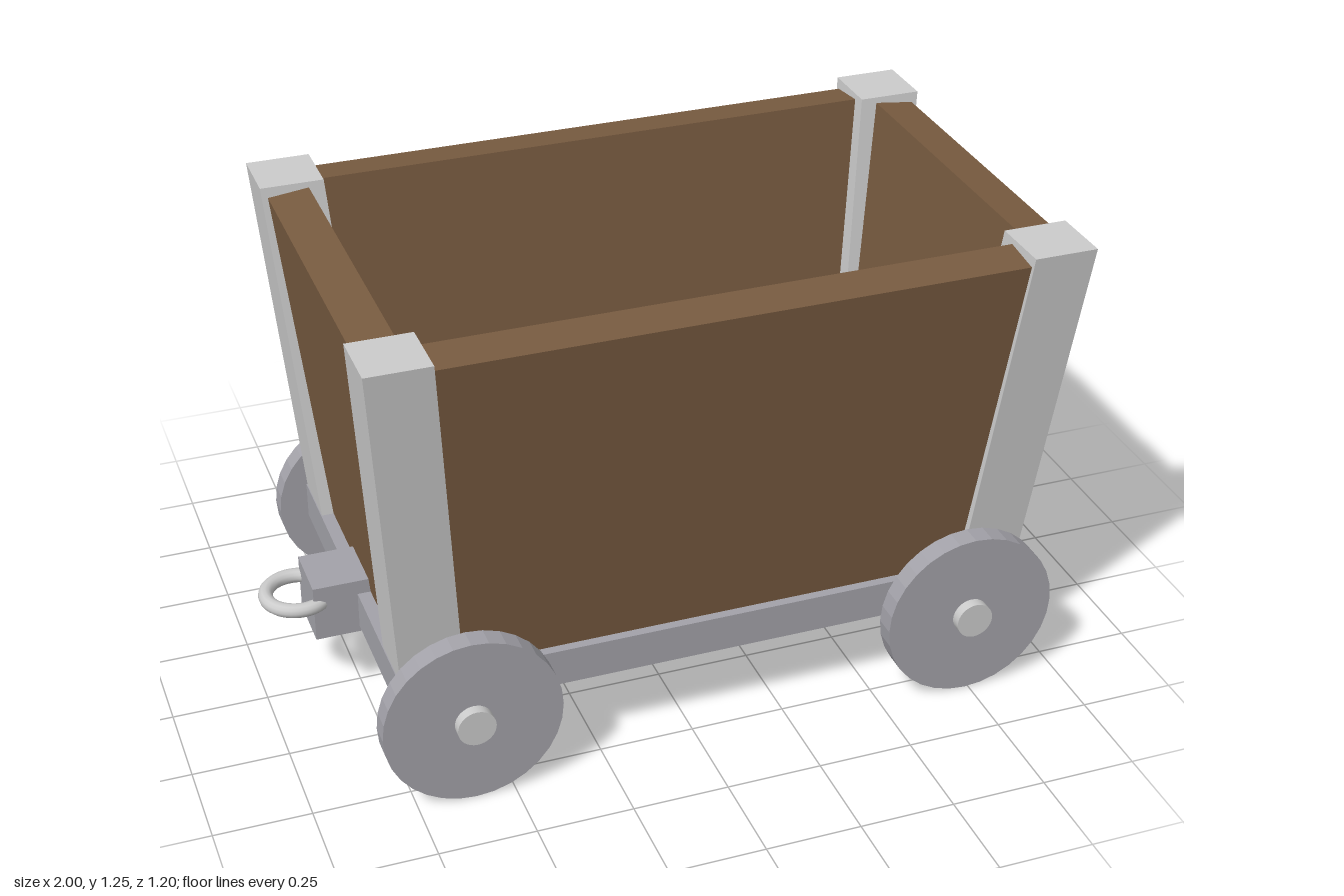
import * as THREE from 'three';

const paint = (color) => new THREE.MeshStandardMaterial({ color });
const steel = paint(0xcccccc);
const darkSteel = paint(0xa3a2a9);
const darkSteelFlat = paint(0xa3a2a9);
darkSteelFlat.flatShading = true;
const wood = paint(0x785b40);

// Box whose bottom and top rectangles are given as [x0, x1, z0, z1];
// topY(sx, sz) gives the height of each top corner.
function taperedBox(bottom, top, y0, topY) {
  const geo = new THREE.BoxGeometry(1, 1, 1);
  const p = geo.attributes.position;
  for (let i = 0; i < p.count; i++) {
    const sx = p.getX(i) > 0 ? 1 : 0;
    const sz = p.getZ(i) > 0 ? 1 : 0;
    const isTop = p.getY(i) > 0;
    const r = isTop ? top : bottom;
    p.setXYZ(i, r[sx], isTop ? topY(sx, sz) : y0, r[2 + sz]);
  }
  geo.computeVertexNormals();
  return geo;
}

export function createModel() {
  const group = new THREE.Group();
  const add = (name, geo, mat, x = 0, y = 0, z = 0) => {
    const mesh = new THREE.Mesh(geo, mat);
    mesh.name = name;
    mesh.position.set(x, y, z);
    group.add(mesh);
    return mesh;
  };

  // Chassis slab
  add('base', new THREE.BoxGeometry(1.67, 0.1, 0.97), darkSteel, 0.075, 0.275, 0.005);

  // Four corner posts leaning outward
  const posts = [
    ['frontRightPost', [-0.757, -0.597, 0.32, 0.485], [-0.83, -0.665, 0.425, 0.593]],
    ['frontLeftPost', [0.745, 0.905, 0.32, 0.485], [0.832, 0.998, 0.415, 0.58]],
    ['backRightPost', [-0.757, -0.597, -0.475, -0.31], [-0.83, -0.665, -0.593, -0.43]],
    ['backLeftPost', [0.745, 0.905, -0.475, -0.31], [0.832, 0.998, -0.593, -0.43]],
  ];
  for (const [name, bottom, top] of posts) {
    add(name, taperedBox(bottom, top, 0.32, () => 1.25), steel);
  }

  // Wooden walls, ends buried in the posts; the outer top edge sits a little lower
  const rim = (outer) => (outer ? 1.223 : 1.235);
  const walls = [
    ['frontWall', [-0.68, 0.83, 0.36, 0.465], [-0.75, 0.915, 0.46, 0.567], (sx, sz) => rim(sz === 1)],
    ['backWall', [-0.68, 0.83, -0.467, -0.365], [-0.75, 0.915, -0.577, -0.47], (sx, sz) => rim(sz === 0)],
    ['rightWall', [-0.725, -0.62, -0.4, 0.41], [-0.812, -0.705, -0.51, 0.5], (sx) => rim(sx === 0)],
    ['leftWall', [0.765, 0.87, -0.4, 0.41], [0.875, 0.98, -0.51, 0.5], (sx) => rim(sx === 1)],
  ];
  for (const [name, bottom, top, topY] of walls) {
    add(name, taperedBox(bottom, top, 0.32, topY), wood);
  }

  // Axles with a wheel at each end
  const axleGeo = new THREE.CylinderGeometry(0.049, 0.049, 1.2, 32).rotateX(Math.PI / 2);
  const wheelGeo = new THREE.CylinderGeometry(0.23, 0.23, 0.057, 32).rotateX(Math.PI / 2);
  for (const x of [-0.6, 0.74]) {
    add('axle', axleGeo, steel, x, 0.23, 0);
    for (const side of [-1, 1]) add('wheel', wheelGeo, darkSteelFlat, x, 0.23, side * 0.544);
  }

  // Hitch block and towing ring
  add('hitchBlock', new THREE.BoxGeometry(0.16, 0.155, 0.16), darkSteel, -0.795, 0.287, 0);
  add('hitchRing', new THREE.TorusGeometry(0.081, 0.019, 12, 48).rotateX(Math.PI / 2), steel, -0.9, 0.31, 0);

  return group;
}
